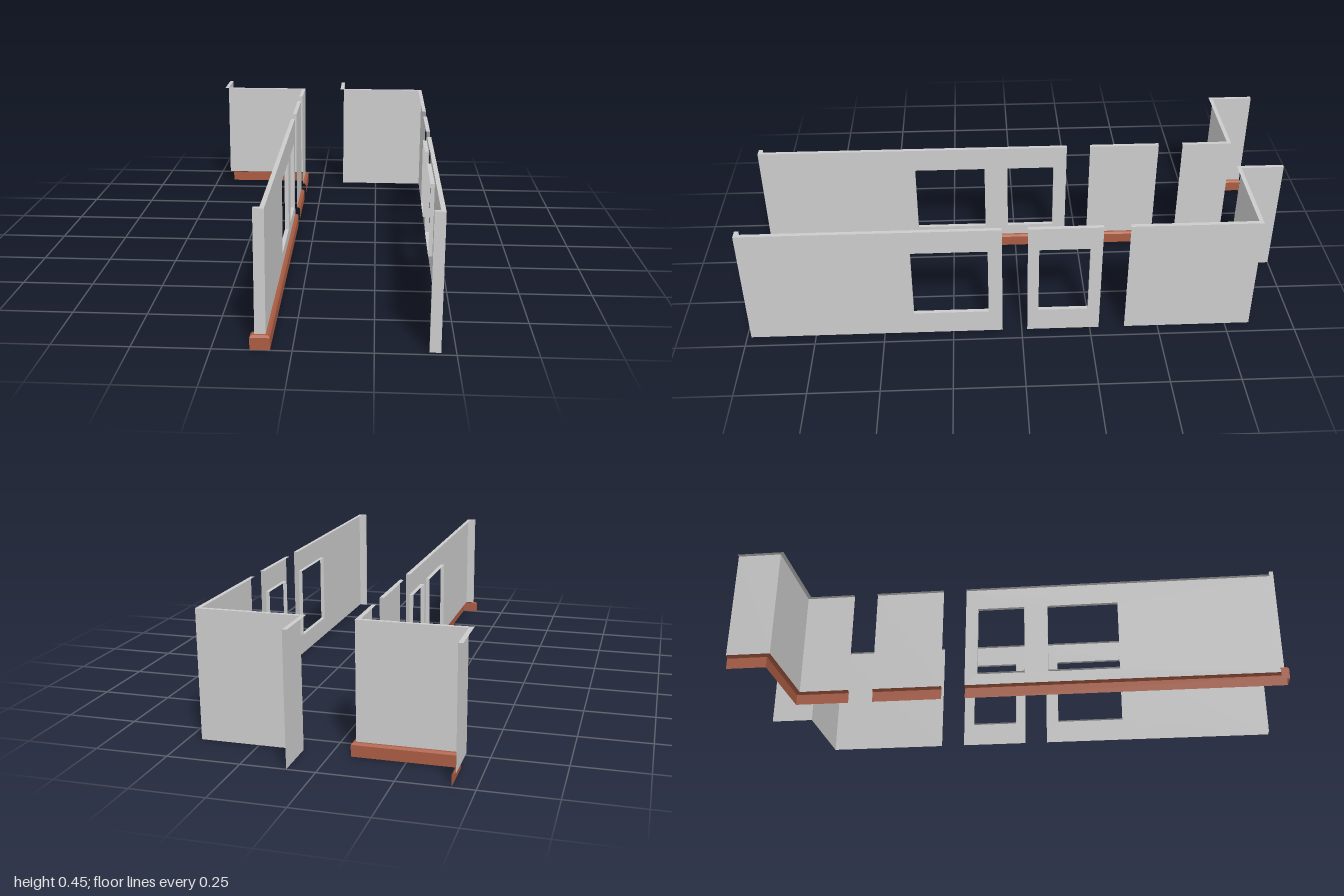
import * as THREE from 'three';

const H = 0.45, T = 0.015, BASE = 0.047;
const WIN_Y0 = 0.09, WIN_Y1 = 0.36;
const wallMat = new THREE.MeshStandardMaterial({ color: 0xcccccc, flatShading: true, side: THREE.DoubleSide });
const trimMat = new THREE.MeshStandardMaterial({ color: 0xaa5c42, flatShading: true, side: THREE.DoubleSide });

function addMesh(parent, name, geometry, material) {
  const mesh = new THREE.Mesh(geometry, material);
  mesh.name = name;
  parent.add(mesh);
  return mesh;
}

// Faceted surface through rows of [x, y, z] points
function surface(rows) {
  const pos = [];
  for (let i = 0; i + 1 < rows.length; i++) {
    for (let j = 0; j + 1 < rows[i].length; j++) {
      const a = rows[i][j], b = rows[i + 1][j], c = rows[i + 1][j + 1], d = rows[i][j + 1];
      pos.push(...a, ...b, ...c, ...a, ...c, ...d);
    }
  }
  const g = new THREE.BufferGeometry();
  g.setAttribute('position', new THREE.Float32BufferAttribute(pos, 3));
  g.computeVertexNormals();
  return g;
}

// Sweep a profile of [outward offset, height] along a mitred right-angled floor path of [x, z]
function sweep(path, profile) {
  const normals = path.slice(1).map(([x, z], i) => {
    const dx = x - path[i][0], dz = z - path[i][1], l = Math.hypot(dx, dz);
    return [-dz / l, dx / l];
  });
  const mitres = path.map((p, i) => {
    const a = normals[i - 1], b = normals[i];
    return a && b ? [a[0] + b[0], a[1] + b[1]] : (a || b);
  });
  return surface(profile.map(([o, y]) =>
    path.map(([x, z], i) => [x + mitres[i][0] * o, y, z + mitres[i][1] * o])));
}

// A wall: thin skin, top edge turned inward, window openings as [zMin, zMax], optional skirting
function wall(name, path, { windows = [], skirting = false } = {}) {
  const g = new THREE.Group();
  g.name = name;
  const y0 = skirting ? BASE : 0;

  for (let i = 0; i + 1 < path.length; i++) {
    const [x, z] = path[i], [x2, z2] = path[i + 1];
    const len = Math.hypot(x2 - x, z2 - z);
    const shape = new THREE.Shape([[0, y0], [len, y0], [len, H], [0, H]].map(p => new THREE.Vector2(...p)));
    if (z - z2 > 0.1) {
      for (const [a, b] of windows) {
        shape.holes.push(new THREE.Path([[z - b, WIN_Y0], [z - b, WIN_Y1], [z - a, WIN_Y1], [z - a, WIN_Y0]]
          .map(p => new THREE.Vector2(...p))));
        // Window reveal, running inward from the skin
        const loop = [[a, WIN_Y0], [b, WIN_Y0], [b, WIN_Y1], [a, WIN_Y1], [a, WIN_Y0]];
        addMesh(g, 'windowReveal',
          surface([x, x - T].map(px => loop.map(([wz, wy]) => [px, wy, wz]))), wallMat);
      }
    }
    const skin = addMesh(g, 'wallPanel', new THREE.ShapeGeometry(shape), wallMat);
    skin.position.set(x, 0, z);
    skin.rotation.y = Math.atan2(z - z2, x2 - x);
  }

  addMesh(g, 'topEdge', sweep(path, [[-T, H], [0, H]]), wallMat);
  if (skirting) {
    addMesh(g, 'skirting', sweep(path, [[0, BASE], [0.008, BASE], [0.014, 0.04], [0.014, 0]]), trimMat);
  }
  return g;
}

export function createModel() {
  const group = new THREE.Group();
  group.name = 'corridorWalls';

  // Front return: a short lip wrapping round the end of a wall at x
  const lip = x => [[x - 0.035, 0.97], [x - 0.035, 0.985], [x, 0.985]];
  const L = 0.453, R = -0.082, BACK = -0.84;

  // Left side, plain to the floor
  group.add(
    wall('leftFrontWall', [...lip(L), [L, 0.07]], { windows: [[0.12, 0.39]] }),
    wall('leftMiddleWall', [[L, -0.02], [L, -0.283]], { windows: [[-0.24, -0.06]] }),
    wall('leftBackWall', [[L, -0.377], [L, BACK], [0.096, BACK], [0.096, -1]]),
  );

  // Right side, with skirting
  group.add(
    wall('rightFrontWall', [...lip(R), [R, -0.2]], { windows: [[0.12, 0.39], [-0.15, 0.03]], skirting: true }),
    wall('rightMiddleWall', [[R, -0.29], [R, -0.557]], { skirting: true }),
    wall('rightBackWall', [[R, -0.65], [R, BACK], [-0.439, BACK], [-0.439, -1]], { skirting: true }),
  );
  return group;
}
